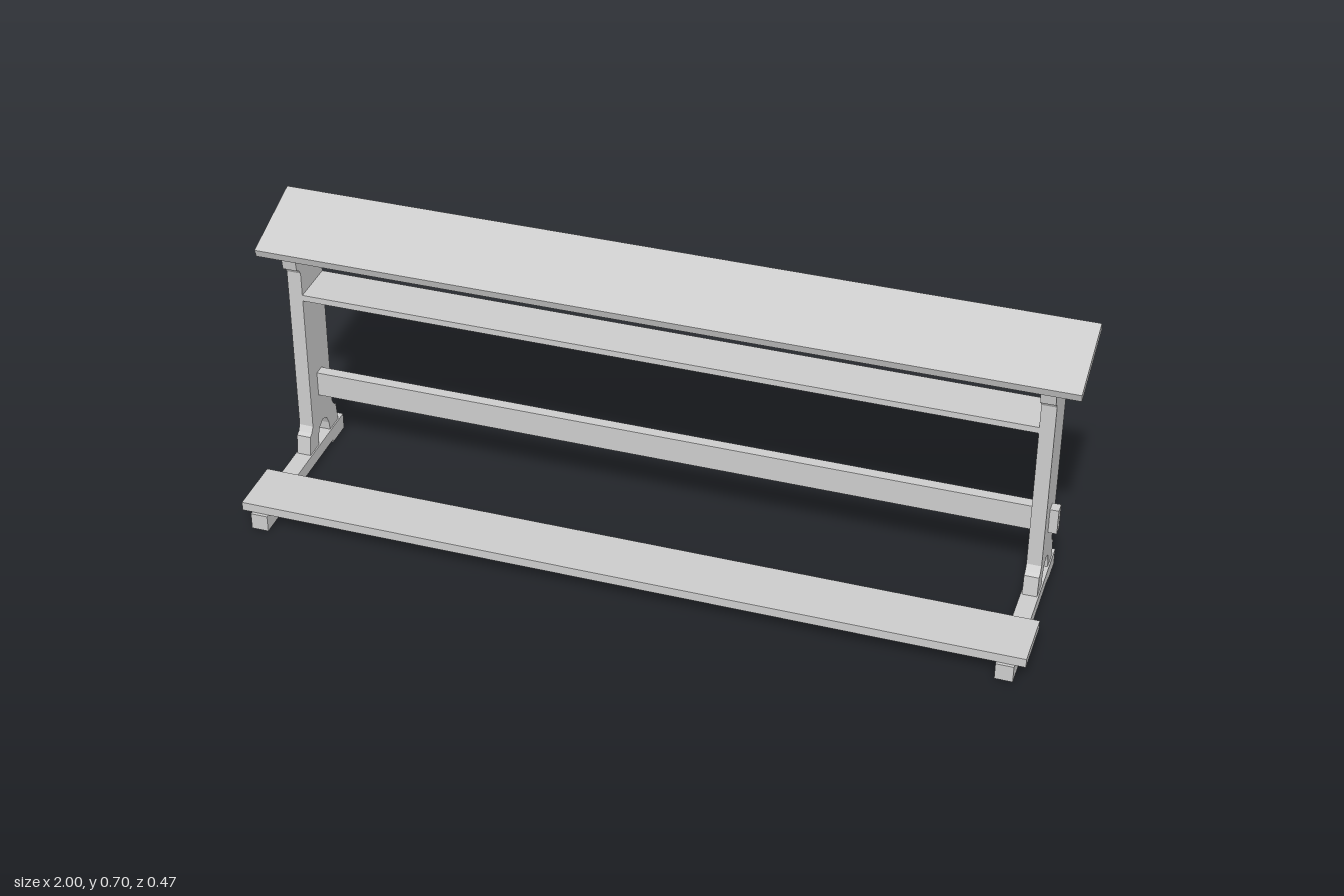
import * as THREE from 'three';

const material = new THREE.MeshStandardMaterial({ color: 0xcccccc, flatShading: true });

function add(parent, name, geometry) {
  const mesh = new THREE.Mesh(geometry, material);
  mesh.name = name;
  parent.add(mesh);
  return mesh;
}

// Side profile as [distance towards the back, height], extruded along x and centred on x = 0
function extrudeProfile(points, width) {
  const shape = new THREE.Shape(points.map(([u, y]) => new THREE.Vector2(u, y)));
  return new THREE.ExtrudeGeometry(shape, { depth: width, bevelEnabled: false })
    .translate(0, 0, -width / 2)
    .rotateY(Math.PI / 2);
}

// Plank given by its full length and its ranges in y and z
function plank(length, y0, y1, z0, z1) {
  return new THREE.BoxGeometry(length, y1 - y0, z1 - z0)
    .translate(0, (y0 + y1) / 2, (z0 + z1) / 2);
}

export function createModel() {
  const model = new THREE.Group();
  model.name = 'kneelingDesk';

  // Upright profile: half outline mirrored about the post's centre line
  const mid = 0.1235;
  const mirror = (points) => points.map(([d, y]) => [mid + d, y]).reverse();
  const front = (points) => points.map(([d, y]) => [mid - d, y]);
  const arch = [[0.0355, 0.043], [0.0325, 0.066], [0.0215, 0.088]];
  const side = [
    [0.0865, 0.043], [0.08, 0.0935], [0.0695, 0.099], [0.0605, 0.114],
    [0.0605, 0.562], [0.0695, 0.575], [0.08, 0.58],
  ];
  const uprightProfile = [
    ...front(arch).reverse(),
    ...front(side),
    [0.037, 0.618], [0.211, 0.674], // sloping top under the desk board
    ...mirror(side),
    ...mirror(arch).reverse(),
    [mid, 0.099],
  ];

  // Foot with a shallow recess between its two pads
  const footProfile = [
    [-0.234, 0], [-0.174, 0], [-0.174, 0.008], [0.165, 0.008],
    [0.165, 0], [0.234, 0], [0.234, 0.043], [-0.234, 0.043],
  ];

  // End frames
  for (const s of [-1, 1]) {
    const frame = new THREE.Group();
    frame.name = s > 0 ? 'leftEndFrame' : 'rightEndFrame';
    frame.position.x = s * 0.923;
    add(frame, 'upright', extrudeProfile(uprightProfile, 0.036));
    add(frame, 'foot', extrudeProfile(footProfile, 0.043));
    model.add(frame);
  }

  // Sloping desk board
  add(model, 'deskBoard', extrudeProfile(
    [[0.026, 0.614], [0.23, 0.679], [0.222, 0.701], [0.0185, 0.635]], 2));

  // Long rails and boards
  add(model, 'bookShelf', plank(1.81, 0.484, 0.5, -0.184, -0.063));
  add(model, 'stretcher', plank(1.924, 0.18, 0.246, -0.137, -0.109));
  add(model, 'footBoard', plank(1.94, 0.043, 0.066, 0.078, 0.226));

  return model;
}
